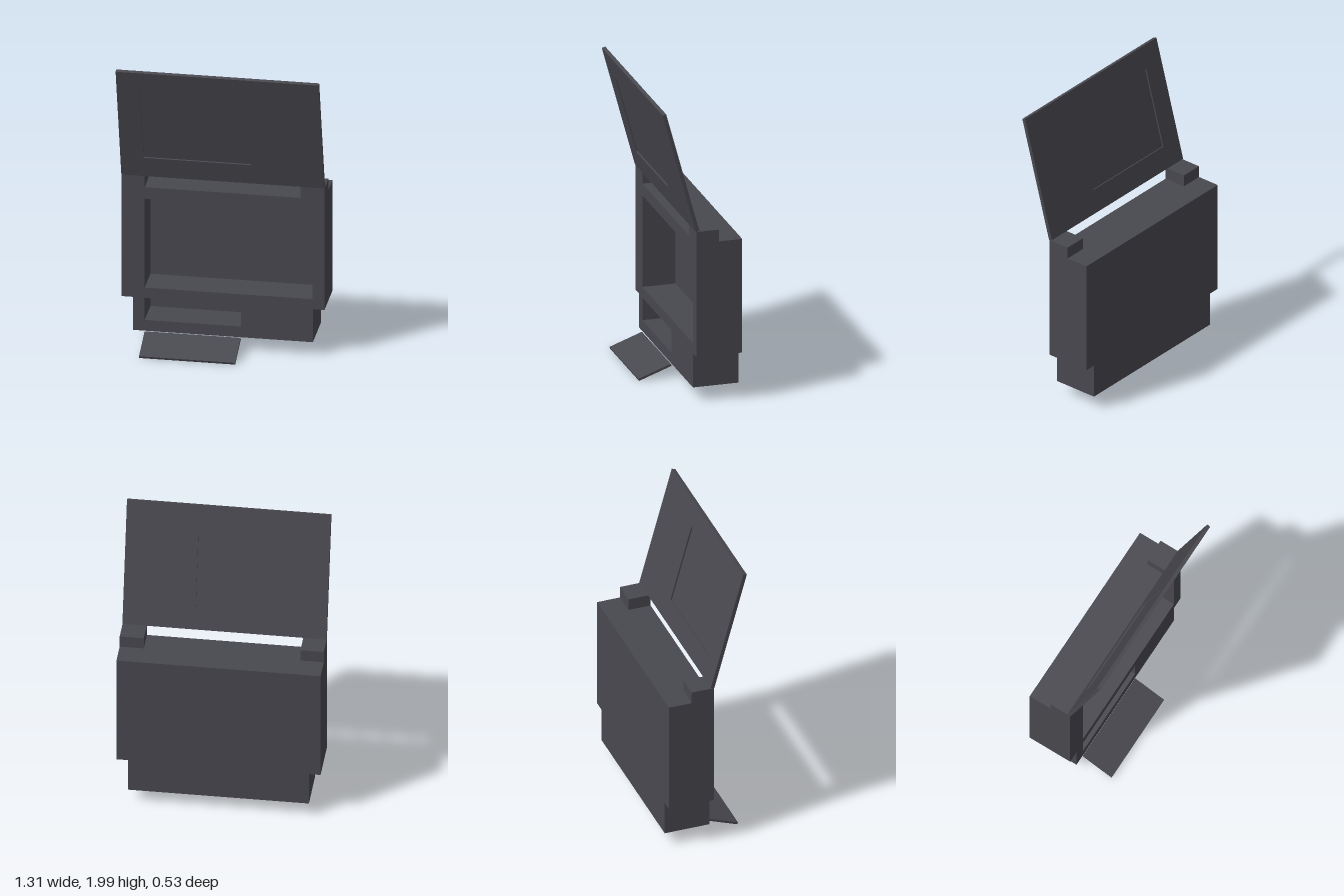
import * as THREE from 'three';

const shell = new THREE.MeshStandardMaterial({ color: 0x48484f });
shell.name = 'charcoal';

// Adds a rectangular hole to a shape
function addHole(shape, x0, x1, y0, y1) {
  shape.holes.push(new THREE.Path([[x0, y0], [x0, y1], [x1, y1], [x1, y0]].map(p => new THREE.Vector2(...p))));
}

function polygon(points) {
  return new THREE.Shape(points.map(p => new THREE.Vector2(...p)));
}

// Extrudes a shape along z from z0 to z1
function slab(name, shape, z0, z1) {
  const geo = new THREE.ExtrudeGeometry(shape, { depth: z1 - z0, bevelEnabled: false });
  geo.translate(0, 0, z0);
  const mesh = new THREE.Mesh(geo, shell);
  mesh.name = name;
  return mesh;
}

function box(name, x0, x1, y0, y1, z0, z1) {
  const mesh = new THREE.Mesh(new THREE.BoxGeometry(x1 - x0, y1 - y0, z1 - z0), shell);
  mesh.position.set((x0 + x1) / 2, (y0 + y1) / 2, (z0 + z1) / 2);
  mesh.name = name;
  return mesh;
}

export function createModel() {
  const model = new THREE.Group();
  model.name = 'openCase';
  const W = 0.655, back = -0.265, floor = -0.18, front = 0.04;

  // Body outline, narrower at the foot
  const outline = () => polygon([
    [-0.58, 0.1], [0.58, 0.1], [0.58, 0.33], [W, 0.33],
    [W, 1.1], [-W, 1.1], [-W, 0.33], [-0.58, 0.33]
  ]);

  // Solid back and a front block with two deep compartments
  model.add(slab('backPanel', outline(), back, floor));
  const frame = outline();
  addHole(frame, -0.505, 0.577, 0.4, 1.02);
  addHole(frame, -0.505, 0.115, 0.175, 0.328);
  model.add(slab('bodyFrame', frame, floor, front));

  // Hinge blocks on the top corners
  model.add(box('leftHinge', 0.5, W, 1.1, 1.18, -0.11, front));
  model.add(box('rightHinge', -W, -0.505, 1.1, 1.18, -0.11, front));

  // Raised lid leaning forward, with a thin pane recessed on both faces
  const lid = new THREE.Group();
  lid.name = 'lid';
  const H = 0.843, T = 0.012;
  const lidShape = polygon([[-W, 0], [W, 0], [W, H], [-W, H]]);
  addHole(lidShape, -0.505, 0.19, 0.15, 0.69);
  lid.add(slab('lidFrame', lidShape, -T, T));
  lid.add(box('lidPane', -0.505, 0.19, 0.15, 0.69, -0.002, 0.002));
  lid.position.set(0, 1.182, 0.032);
  lid.rotation.x = 0.265;
  model.add(lid);

  // Small flap hanging open below the front
  const flap = new THREE.Group();
  flap.name = 'flap';
  flap.add(box('flapPlate', -0.505, 0.115, -0.0075, 0.0075, 0, 0.23));
  flap.position.set(0, 0.09, 0.041);
  flap.rotation.x = 0.35;
  model.add(flap);

  return model;
}
